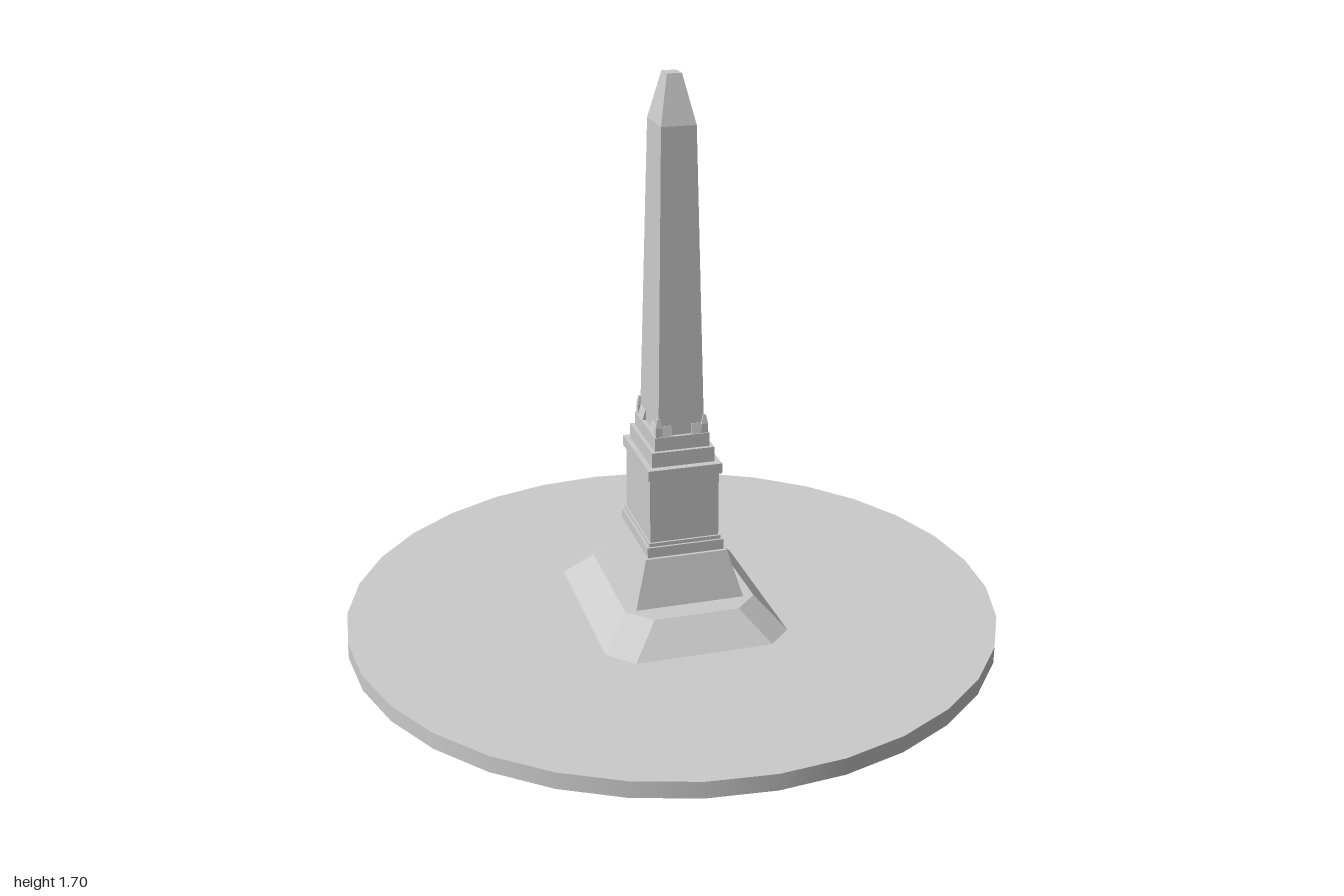
import * as THREE from 'three';
import { ConvexGeometry } from 'three/addons/geometries/ConvexGeometry.js';

const grey = new THREE.MeshStandardMaterial({ color: 0xcccccc });
const greyOpen = new THREE.MeshStandardMaterial({ color: 0xcccccc, side: THREE.DoubleSide });

// Corners of a rectangle (half sizes hx, hz) at height y, optionally cut by c
function ring(y, hx, hz, c = 0) {
  const points = [];
  for (const sx of [-1, 1]) for (const sz of [-1, 1]) {
    if (c > 0) {
      points.push(new THREE.Vector3(sx * (hx - c), y, sz * hz), new THREE.Vector3(sx * hx, y, sz * (hz - c)));
    } else points.push(new THREE.Vector3(sx * hx, y, sz * hz));
  }
  return points;
}

export function createModel() {
  const group = new THREE.Group();
  const add = (name, geometry, material = grey) => {
    const mesh = new THREE.Mesh(geometry, material);
    mesh.name = name;
    group.add(mesh);
    return mesh;
  };
  // Flat-sided block between two or more rings
  const block = (name, ...rings) => add(name, new ConvexGeometry(rings.flat()));
  // Straight block from y0 to y1
  const slab = (name, y0, y1, hx, hz) => block(name, ring(y0, hx, hz), ring(y1, hx, hz));

  // Round ground plate: a thin rim and a top, open underneath
  add('groundRim', new THREE.CylinderGeometry(1, 1, 0.05, 32, 1, true), greyOpen).position.y = 0.025;
  const top = add('groundTop', new THREE.CircleGeometry(1, 32), greyOpen);
  top.rotation.x = -Math.PI / 2;
  top.position.y = 0.05;

  // Sloped base with cut corners, and the tapered foot on it
  block('slopedBase', ring(0.046, 0.285, 0.357, 0.073), ring(0.138, 0.2, 0.27, 0.07));
  block('taperedFoot', ring(0.138, 0.167, 0.2), ring(0.281, 0.126, 0.162));

  // Pedestal with its lower moulding
  slab('lowerMoulding', 0.281, 0.313, 0.118, 0.152);
  slab('lowerLedge', 0.313, 0.324, 0.111, 0.145);
  slab('pedestal', 0.324, 0.527, 0.106, 0.138);

  // Stepped cap
  slab('capStep1', 0.527, 0.559, 0.113, 0.149);
  slab('capStep2', 0.559, 0.605, 0.096, 0.126);
  slab('capStep3', 0.605, 0.647, 0.084, 0.114);

  // Tapering shaft and blunt tip
  block('shaft', ring(0.647, 0.07, 0.103), ring(1.56, 0.052, 0.073));
  block('tip', ring(1.56, 0.052, 0.073), ring(1.7, 0.022, 0.028));

  // Sloped brackets gripping the shaft corners, each with a pointed horn
  for (const sx of [-1, 1]) for (const sz of [-1, 1]) {
    const level = (y, x0, z0, x1, z1) => [[x0, z0], [x1, z0], [x0, z1], [x1, z1]]
      .map(([x, z]) => new THREE.Vector3(sx * x, y, sz * z));
    block('cornerBracket', level(0.647, 0.03, 0.038, 0.08, 0.111), level(0.678, 0.03, 0.038, 0.071, 0.104));
    block('cornerHorn', level(0.647, 0.06, 0.092, 0.08, 0.111), level(0.675, 0.06, 0.092, 0.08, 0.111),
      level(0.702, 0.066, 0.098, 0.075, 0.106));
  }
  return group;
}
